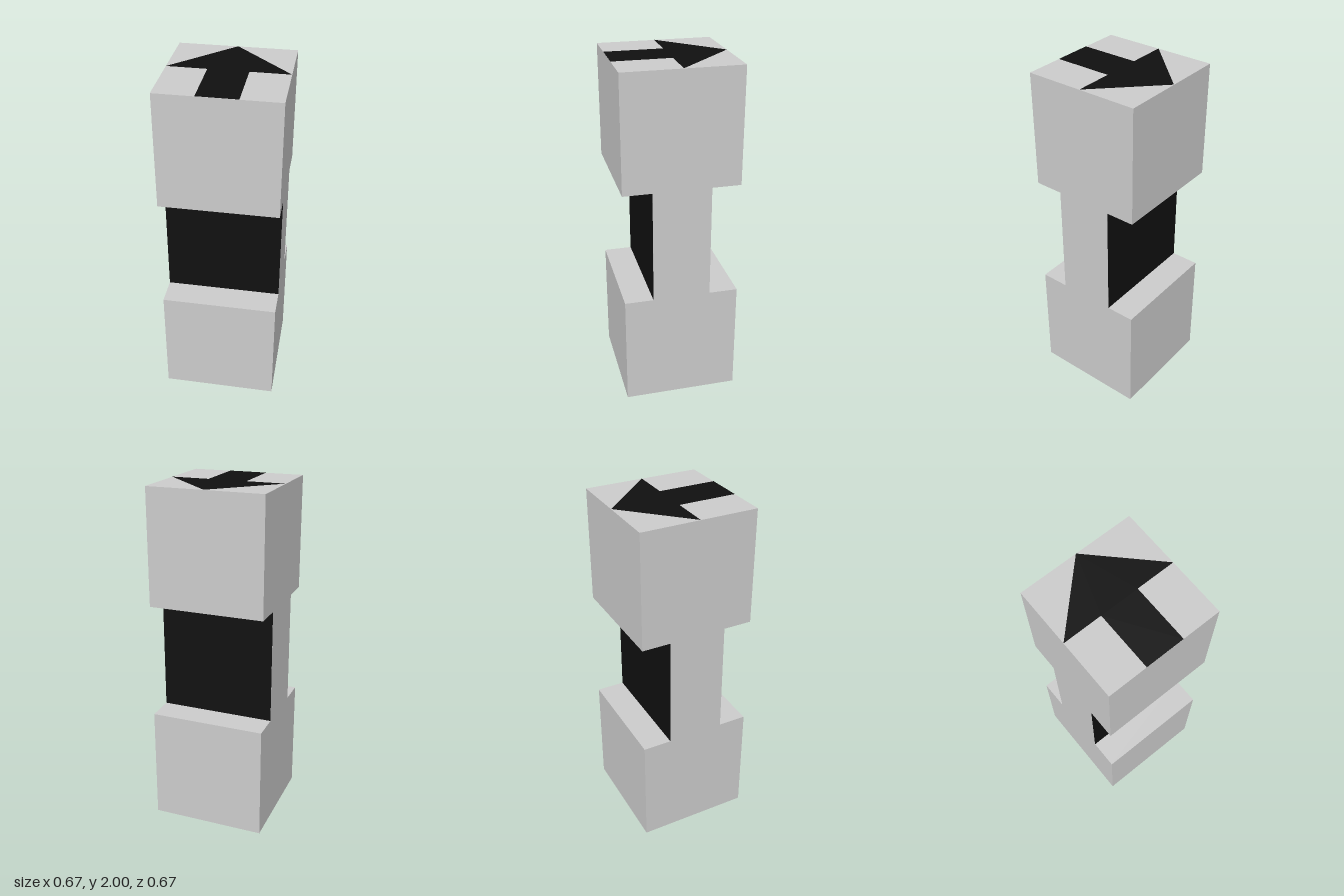
import * as THREE from 'three';

const H = 1 / 3;  // half width of the end blocks
const W = 1 / 6;  // half depth of the waist
const LIFT = 0.001; // keeps the dark markings clear of the grey faces

function polygon(points) {
  return new THREE.Shape(points.map(([x, y]) => new THREE.Vector2(x, y)));
}

export function createModel() {
  const grey = new THREE.MeshStandardMaterial({ color: 0xcccccc });
  const black = new THREE.MeshStandardMaterial({ color: 0x101010 });
  const group = new THREE.Group();

  function add(name, geometry, material) {
    const mesh = new THREE.Mesh(geometry, material);
    mesh.name = name;
    group.add(mesh);
    return mesh;
  }

  // Post: I-shaped side profile extruded across the width
  const profile = polygon([
    [-H, 0], [H, 0], [H, 2 * H], [W, 2 * H], [W, 4 * H], [H, 4 * H],
    [H, 2], [-H, 2], [-H, 4 * H], [-W, 4 * H], [-W, 2 * H], [-H, 2 * H],
  ]);
  const body = new THREE.ExtrudeGeometry(profile, { depth: 2 * H, bevelEnabled: false });
  body.translate(0, 0, -H).rotateY(Math.PI / 2);
  add('post', body, grey);

  // Dark panels filling the front and back recesses
  for (const side of [1, -1]) {
    const name = side > 0 ? 'frontPanel' : 'backPanel';
    const panel = add(name, new THREE.PlaneGeometry(2 * H, 2 * H), black);
    panel.position.set(0, 1, side * (W + LIFT));
    if (side < 0) panel.rotation.y = Math.PI;
  }

  // Direction arrow on the top face, pointing to the back
  const s = H / 3;
  const arrow = polygon([[-s, -H], [s, -H], [s, 0], [H, 0], [0, H], [-H, 0], [-s, 0]]);
  const arrowGeometry = new THREE.ShapeGeometry(arrow).rotateX(-Math.PI / 2);
  add('topArrow', arrowGeometry, black).position.y = 2 + LIFT;

  return group;
}
